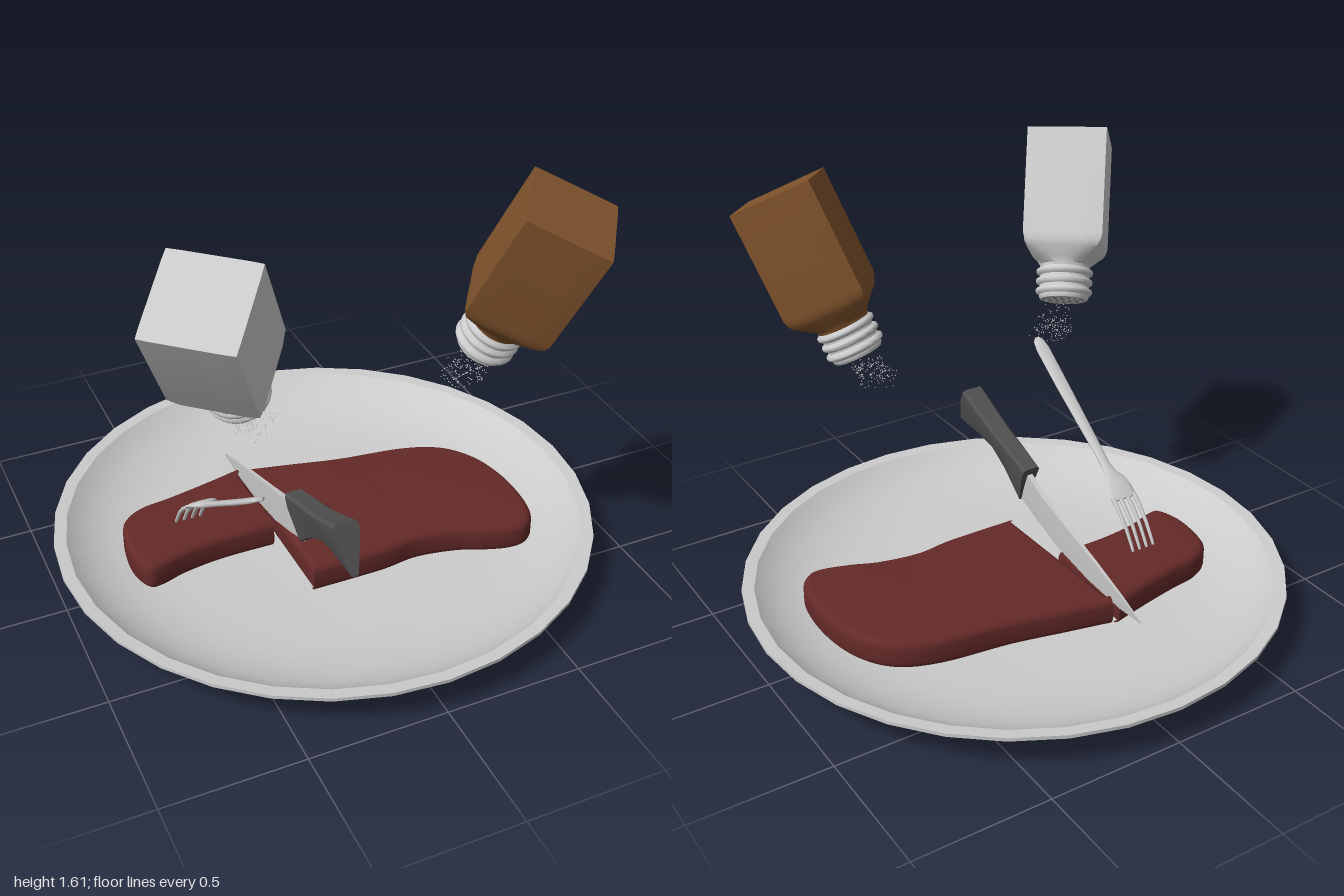
import * as THREE from 'three';
import { mergeGeometries, toCreasedNormals } from 'three/addons/utils/BufferGeometryUtils.js';

const V3 = (x, y, z) => new THREE.Vector3(x, y, z);
const paint = (color) => new THREE.MeshStandardMaterial({ color });
const grey = paint(0xcccccc);
const meat = paint(0x642a28);
const brown = paint(0x80532c);
const darkGrey = paint(0x505050);

function part(name, geometry, material, parent) {
  const mesh = new THREE.Mesh(geometry, material);
  mesh.name = name;
  parent.add(mesh);
  return mesh;
}

// Closed solid skinned over rings of equal point count, turned outwards by its signed volume
function loft(rings, crease = 0.6) {
  const n = rings[0].length, last = (rings.length - 1) * n;
  const pts = rings.flat();
  const centre = (ring) => ring.reduce((s, p) => s.add(p), V3(0, 0, 0)).divideScalar(n);
  pts.push(centre(rings[0]), centre(rings[rings.length - 1]));
  let index = [];
  for (let i = 0; i < n; i++) {
    const j = (i + 1) % n;
    for (let r = 0; r < last; r += n) index.push(r + i, r + j, r + n + j, r + i, r + n + j, r + n + i);
    index.push(pts.length - 2, j, i, pts.length - 1, last + i, last + j);
  }
  let volume = 0;
  for (let k = 0; k < index.length; k += 3) {
    volume += pts[index[k]].dot(V3().crossVectors(pts[index[k + 1]], pts[index[k + 2]]));
  }
  if (volume < 0) index.reverse();
  const g = new THREE.BufferGeometry().setFromPoints(pts);
  g.setIndex(index);
  return toCreasedNormals(g, crease);
}

const lathe = (profile, segments, crease) =>
  toCreasedNormals(new THREE.LatheGeometry(profile.map(([r, y]) => new THREE.Vector2(r, y)), segments), crease);

// Steak slab: spline outline in x, z, closed by a straight cut
function steakGeometry(outline) {
  const shape = new THREE.Shape();
  const pts = outline.map(([x, z]) => new THREE.Vector2(x, -z));
  shape.moveTo(pts[0].x, pts[0].y);
  shape.splineThru(pts.slice(1));
  shape.closePath();
  const g = new THREE.ExtrudeGeometry(shape, {
    depth: 0.055, bevelThickness: 0.028, bevelSize: 0.028, bevelOffset: -0.028, bevelSegments: 4, curveSegments: 48,
  });
  g.rotateX(-Math.PI / 2).translate(0, 0.053, 0);
  return toCreasedNormals(g, 0.7);
}

// Knife piece: stations [topZ, topY, bottomZ, bottomY, halfWidth], section points [side, fraction down]
function knifeGeometry(stations, section, crease) {
  return loft(stations.map(([tz, ty, bz, by, w]) => section.map(([s, f]) =>
    V3(s * w, ty + (by - ty) * f, tz + (bz - tz) * f))), crease);
}

// Flat rounded bar along a path: stations [z, y, halfWidth, halfThickness]
function barGeometry(stations, x = 0) {
  return loft(stations.map(([z, y, w, t], k) => {
    const a = stations[Math.max(k - 1, 0)], b = stations[Math.min(k + 1, stations.length - 1)];
    const len = Math.hypot(b[0] - a[0], b[1] - a[1]);
    const nz = -(b[1] - a[1]) / len, ny = (b[0] - a[0]) / len;
    return Array.from({ length: 12 }, (_, i) => {
      const c = Math.cos(i * Math.PI / 6), s = Math.sin(i * Math.PI / 6);
      return V3(x + w * Math.sign(c) * Math.sqrt(Math.abs(c)), y + ny * t * s, z + nz * t * s);
    });
  }), 0.9);
}

function makeShaker(name, base, u, axis, material) {
  const shaker = new THREE.Group();
  shaker.name = name;
  // Square body rounding into the neck: [height, half size, squareness]
  const rings = [[0, 0.15, 80], [0.4, 0.15, 60], [0.425, 0.147, 20], [0.445, 0.138, 10], [0.48, 0.108, 4], [0.5, 0.096, 2], [0.53, 0.09, 2]];
  part('shakerBody', loft(rings.map(([y, h, p]) => Array.from({ length: 40 }, (_, i) => {
    const c = Math.cos(i * Math.PI / 20), s = Math.sin(i * Math.PI / 20);
    const r = h / Math.pow(Math.abs(c) ** p + Math.abs(s) ** p, 1 / p);
    return V3(r * c, y, r * s);
  })), 0.6), material, shaker);
  // Ridged cap
  const profile = [[0, 0.5], [0.09, 0.5]];
  for (let k = 0; k < 3; k++) {
    const y = 0.51 + k * 0.037;
    profile.push([0.094, y], [0.106, y + 0.008], [0.108, y + 0.015], [0.106, y + 0.022], [0.094, y + 0.03]);
  }
  profile.push([0.094, 0.622], [0.088, 0.63], [0, 0.632]);
  part('shakerCap', lathe(profile, 32, 0.8), grey, shaker);
  // Sprinkle holes
  const holes = [];
  [[1, 0], [6, 0.028], [12, 0.055], [18, 0.078]].forEach(([n, r]) => {
    for (let i = 0; i < n; i++) {
      const a = i / n * Math.PI * 2;
      holes.push(new THREE.CircleGeometry(0.006, 8).rotateX(-Math.PI / 2).translate(r * Math.cos(a), 0.6335, r * Math.sin(a)));
    }
  });
  part('sprinkleHoles', mergeGeometries(holes), darkGrey, shaker);
  // Local y points from the base down to the cap
  const ey = axis.clone().normalize().negate();
  const ex = u.clone().addScaledVector(ey, -u.dot(ey)).normalize();
  shaker.applyMatrix4(new THREE.Matrix4().makeBasis(ex, ey, V3().crossVectors(ex, ey)).setPosition(base));
  return shaker;
}

// Falling grains, spreading downwards from a cap
function grainGeometry(start, drop, seed) {
  const rand = () => (seed = (seed * 16807) % 2147483647) / 2147483647;
  const grains = [];
  for (let i = 0; i < 160; i++) {
    const t = Math.sqrt(rand()), a = rand() * Math.PI * 2;
    const r = (0.05 + 0.035 * t) * Math.sqrt(rand());
    const p = start.clone().addScaledVector(drop, t);
    grains.push(new THREE.OctahedronGeometry(0.0028).translate(p.x + r * Math.cos(a), p.y + (rand() - 0.5) * 0.03, p.z + r * Math.sin(a)));
  }
  return mergeGeometries(grains);
}

export function createModel() {
  const model = new THREE.Group();
  model.name = 'steakDinner';

  part('plate', lathe([[0, 0], [0.75, 0], [1, 0.132], [1, 0.145], [0.955, 0.142], [0.92, 0.112], [0.86, 0.08],
    [0.78, 0.052], [0.68, 0.034], [0.55, 0.025], [0, 0.022]], 32, 0.5), grey, model);

  // Steak in two pieces, either side of the cut
  part('steakSmallPiece', steakGeometry([[-0.2, -0.39], [-0.35, -0.355], [-0.5, -0.325], [-0.62, -0.305], [-0.7, -0.25],
    [-0.73, -0.15], [-0.735, -0.04], [-0.705, 0.045], [-0.65, 0.05], [-0.55, 0.02], [-0.4, 0.0], [-0.2, 0.0]]), meat, model);
  part('steakLargePiece', steakGeometry([[-0.18, -0.38], [0, -0.34], [0.2, -0.295], [0.45, -0.26], [0.6, -0.2], [0.69, -0.09],
    [0.73, 0.05], [0.735, 0.2], [0.71, 0.32], [0.66, 0.375], [0.6, 0.38], [0.5, 0.35], [0.4, 0.31], [0.25, 0.285],
    [0.1, 0.3], [-0.17, 0.3]]), meat, model);

  // Knife
  const knife = new THREE.Group();
  knife.name = 'knife';
  knife.position.x = -0.195;
  part('blade', knifeGeometry([[0.22, 0.385, 0.28, 0.25, 0.011], [0.1, 0.325, 0.15, 0.2, 0.01], [-0.03, 0.283, 0, 0.15, 0.008],
    [-0.24, 0.218, -0.2, 0.115, 0.006], [-0.42, 0.157, -0.4, 0.102, 0.004], [-0.52, 0.118, -0.52, 0.11, 0.001]],
  [[-1, 0], [1, 0], [0.6, 0.6], [0, 1], [-0.6, 0.6]], 0.4), grey, knife);
  part('knifeHandle', knifeGeometry([[0.61, 0.567, 0.69, 0.4, 0.045], [0.5, 0.517, 0.55, 0.394, 0.043], [0.4, 0.475, 0.45, 0.377, 0.04],
    [0.3, 0.445, 0.36, 0.325, 0.038], [0.18, 0.405, 0.255, 0.235, 0.036]],
  [[-0.75, 0], [0.75, 0], [1, 0.07], [0.95, 0.3], [0.3, 0.97], [0, 1], [-0.3, 0.97], [-0.95, 0.3], [-1, 0.07]], 0.4), darkGrey, knife);
  model.add(knife);

  // Fork
  const fork = new THREE.Group();
  fork.name = 'fork';
  fork.position.x = -0.479;
  part('forkHandle', barGeometry([[0.583, 0.727, 0.01, 0.005], [0.57, 0.718, 0.022, 0.008], [0.54, 0.696, 0.029, 0.009],
    [0.4, 0.593, 0.028, 0.009], [0.2, 0.45, 0.022, 0.009], [0.1, 0.378, 0.019, 0.01], [0.065, 0.355, 0.027, 0.01],
    [0.03, 0.335, 0.05, 0.01], [0, 0.315, 0.055, 0.01], [-0.03, 0.289, 0.055, 0.008]]), grey, fork);
  for (const x of [-0.047, -0.016, 0.016, 0.047]) {
    part('tine', barGeometry([[-0.02, 0.298, 0.009, 0.007], [-0.06, 0.264, 0.008, 0.007], [-0.11, 0.21, 0.007, 0.006],
      [-0.15, 0.15, 0.006, 0.005], [-0.172, 0.105, 0.003, 0.003]], x), grey, fork);
  }
  model.add(fork);

  // Tilted shakers and their grains
  model.add(makeShaker('saltShaker', V3(-0.66, 1.503, 0.632), V3(0.166, 0.162, -0.19), V3(-0.33, 0.841, 0.429), grey));
  model.add(makeShaker('pepperShaker', V3(0.572, 1.52, 0.61), V3(0.171, 0.05, -0.241), V3(0.257, 0.894, 0.368), brown));
  part('saltGrains', grainGeometry(V3(-0.44, 0.96, 0.37), V3(0.045, -0.11, -0.01), 11), grey, model);
  part('pepperGrains', grainGeometry(V3(0.39, 0.95, 0.38), V3(-0.045, -0.1, -0.01), 47), grey, model);
  return model;
}
